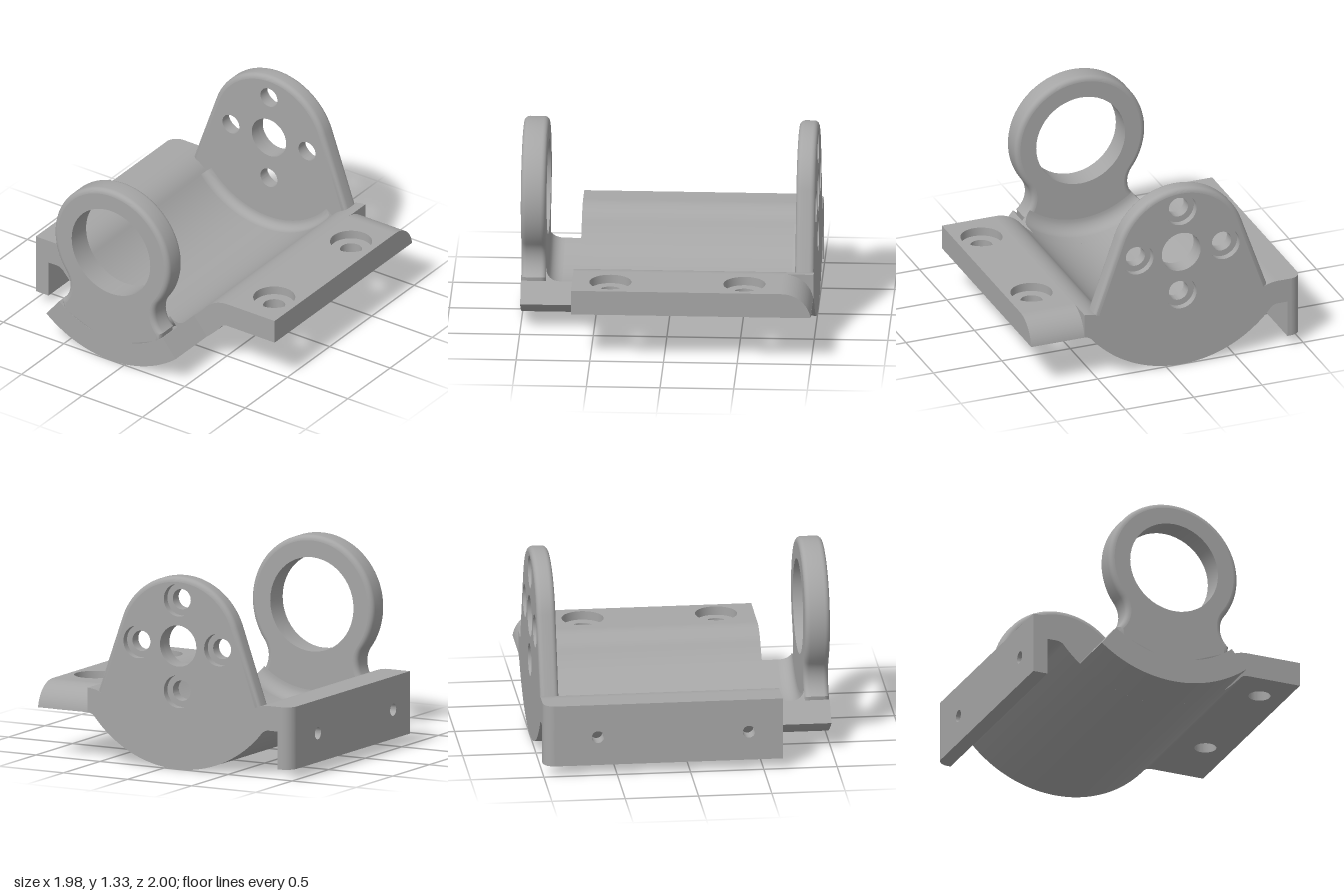
import * as THREE from 'three';
import { toCreasedNormals } from 'three/addons/utils/BufferGeometryUtils.js';

// Shared axis of the trough, ring and end plate
const CX = -0.11, CY = 0.85, R_IN = 0.68, R_OUT = 0.85;
const rad = THREE.MathUtils.degToRad;

// Points relative to the shared axis
const pt = (x, y) => new THREE.Vector2(CX + x, CY + y);
function arc(x, y, r, a0, a1, n = 16) {
  return Array.from({ length: n + 1 }, (_, i) => {
    const a = rad(a0 + (a1 - a0) * i / n);
    return pt(x + r * Math.cos(a), y + r * Math.sin(a));
  });
}
// Completes a right half outline with its mirror image
function mirrored(half) {
  const other = half.slice(1, -1).reverse().map(p => new THREE.Vector2(2 * CX - p.x, p.y));
  return [...half, ...other];
}
function withHoles(points, holes = []) {
  const shape = new THREE.Shape(points);
  for (const [x, y, r] of holes) shape.holes.push(new THREE.Path().absarc(x, y, r, 0, Math.PI * 2, true));
  return shape;
}
const rect = (x0, y0, x1, y1) => [[x0, y0], [x1, y0], [x1, y1], [x0, y1]].map(p => new THREE.Vector2(...p));

function extrude(shape, depth) {
  return new THREE.ExtrudeGeometry(shape, { depth, bevelEnabled: false, curveSegments: 24 });
}
const alongZ = (shape, z0, z1) => extrude(shape, z1 - z0).translate(0, 0, z0);
// Shape is drawn in (x, -z)
const alongY = (shape, y0, y1) => extrude(shape, y1 - y0).rotateX(-Math.PI / 2).translate(0, y0, 0);
// Shape is drawn in (-z, y)
const alongX = (shape, x0, x1) => extrude(shape, x1 - x0).rotateY(Math.PI / 2).translate(x0, 0, 0);

// Surface through rows of equally many points
function loft(rows) {
  const n = rows[0].length, index = [];
  for (let i = 0; i < rows.length - 1; i++) {
    for (let j = 0; j < n - 1; j++) {
      const a = i * n + j, b = a + n;
      index.push(a, b, a + 1, b, b + 1, a + 1);
    }
  }
  const geo = new THREE.BufferGeometry();
  geo.setAttribute('position', new THREE.Float32BufferAttribute(rows.flat(2), 3));
  geo.setIndex(index);
  return geo;
}
// Moves a closed outline inwards
function inset(points, d) {
  const n = points.length, s = Math.sign(THREE.ShapeUtils.area(points));
  const normal = (a, b) => new THREE.Vector2(a.y - b.y, b.x - a.x).normalize().multiplyScalar(s);
  return points.map((p, i) => {
    const n0 = normal(points[(i + n - 1) % n], p), n1 = normal(p, points[(i + 1) % n]);
    const m = n0.clone().add(n1).normalize();
    return p.clone().addScaledVector(m, d / Math.max(0.5, m.dot(n0)));
  });
}
// Rounded rim around a plate
function rim(points, z0, z1, b) {
  const rows = [];
  for (const [z, from] of [[z0 + b, 0], [z1 - b, 90]]) {
    for (let i = 0; i <= 5; i++) {
      const a = rad(from + i * 18);
      const loop = inset(points, b * (1 - Math.sin(a)));
      rows.push([...loop, loop[0]].map(p => [p.x, p.y, z - b * Math.cos(a)]));
    }
  }
  return loft(rows);
}
// Concave fillet between the trough and a plate face at z, dir pointing away from the plate
function fillet(z, dir, f, spread) {
  const profile = Array.from({ length: 9 }, (_, i) => {
    const t = rad(i * 11.25);
    return [R_IN - f + f * Math.sin(t), z + dir * (f - f * Math.cos(t))];
  });
  const corner = profile.map(() => [R_IN, z]);
  const place = (prof, deg) => prof.map(([r, zz]) => [CX + r * Math.sin(rad(deg)), CY - r * Math.cos(rad(deg)), zz]);
  const rows = [place(corner, -spread)];
  for (let i = 0; i <= 32; i++) rows.push(place(profile, -spread + 2 * spread * i / 32));
  rows.push(place(corner, spread));
  return loft(rows);
}

export function createModel() {
  const group = new THREE.Group();
  const grey = new THREE.MeshStandardMaterial({ color: 0xa6a6a6, side: THREE.DoubleSide });
  grey.name = 'grey metal';
  const add = (name, geo) => {
    const mesh = new THREE.Mesh(toCreasedNormals(geo, 0.6), grey);
    mesh.name = name;
    group.add(mesh);
  };

  // Trough with shoulders bending out to the flanges
  const trough = mirrored([
    ...arc(0, 0, R_IN, -90, -39.9, 24), ...arc(0.706, -0.591, 0.241, 140.1, 90, 12).slice(1),
    ...arc(0.706, -0.591, 0.071, 90, 140.1, 12), ...arc(0, 0, R_OUT, -39.9, -90, 24).slice(1),
  ]);
  add('trough', alongZ(withHoles(trough), -1, 0.63));

  // Narrow front end of the trough
  const tongue = [...arc(0, 0, R_OUT, -129, -51, 40), ...arc(0, 0, R_IN, -51, -129, 40)];
  add('troughTongue', alongZ(withHoles(tongue), 0.63, 1));

  // Front bearing ring with its neck
  const B = 0.035;
  const ring = mirrored([
    ...arc(0, 0, 0.475, 90, -36.2, 36), ...arc(0.52, -0.38, 0.169, 143.8, 230, 16).slice(1),
    pt(0.4, -0.6), pt(0, -0.76),
  ]);
  add('ringPlate', alongZ(withHoles(inset(ring, B), [[CX, CY, 0.325]]), 0.83, 1));
  add('ringRim', rim(ring, 0.83, 1, B));
  add('ringFillet', fillet(0.83, -1, 0.09, 39));

  // Rear plate with a centre hole and four counterbored bolt holes
  const rear = mirrored([
    ...arc(0, 0, 0.475, 90, 19.5, 24), pt(0.663, -0.45), pt(0.53, -0.53), ...arc(0, 0, 0.76, -45, -90, 12),
  ]);
  for (const [name, z0, z1, r] of [['rearPlateOuter', -1, -0.95, 0.112], ['rearPlateInner', -0.95, -0.87, 0.07]]) {
    const holes = [[CX, CY, 0.142]];
    for (const [dx, dy] of [[1, 0], [-1, 0], [0, 1], [0, -1]]) holes.push([CX + 0.315 * dx, CY + 0.315 * dy, r]);
    add(name, alongZ(withHoles(inset(rear, B), holes), z0, z1));
  }
  add('rearPlateRim', rim(rear, -1, -0.87, B));
  add('rearPlateFillet', fillet(-0.87, 1, 0.06, 50));

  // Left flange with two counterbored holes
  for (const [name, y0, y1, r] of [['flangeLower', 0.33, 0.44, 0.075], ['flangeUpper', 0.44, 0.5, 0.143]]) {
    const holes = [-0.54, 0.37].map(z => [0.8, -z, r]);
    add(name, alongY(withHoles(rect(0.596, -0.63, 0.985, 0.8), holes), y0, y1));
  }
  // Rounded rear end of the left flange
  const nose = new THREE.Shape().moveTo(0.8, 0.33).lineTo(0.998, 0.33).absarc(0.8, 0.3, 0.2, 0.15, Math.PI / 2, false);
  add('flangeNose', alongX(nose, 0.596, 0.985));

  // Right flange with a rounded rear corner
  const side = (inner) => new THREE.Shape().moveTo(inner, -0.63).lineTo(inner, 1).lineTo(-0.91, 1)
    .absarc(-0.91, 0.92, 0.08, Math.PI / 2, Math.PI, false).lineTo(-0.99, -0.63);
  add('sideFlange', alongY(side(-0.816), 0.33, 0.5));

  // Hanging lip with two cross holes
  const lipHoles = [-0.63, 0.4].map(z => [-z, 0.27, 0.042]);
  add('lip', alongX(withHoles(rect(-0.63, 0.07, 0.92, 0.33), lipHoles), -0.99, -0.885));
  const corner = new THREE.Shape().moveTo(-0.885, 0.92).lineTo(-0.885, 1).lineTo(-0.91, 1)
    .absarc(-0.91, 0.92, 0.08, Math.PI / 2, Math.PI, false);
  add('lipCorner', alongY(corner, 0.07, 0.33));

  return group;
}
